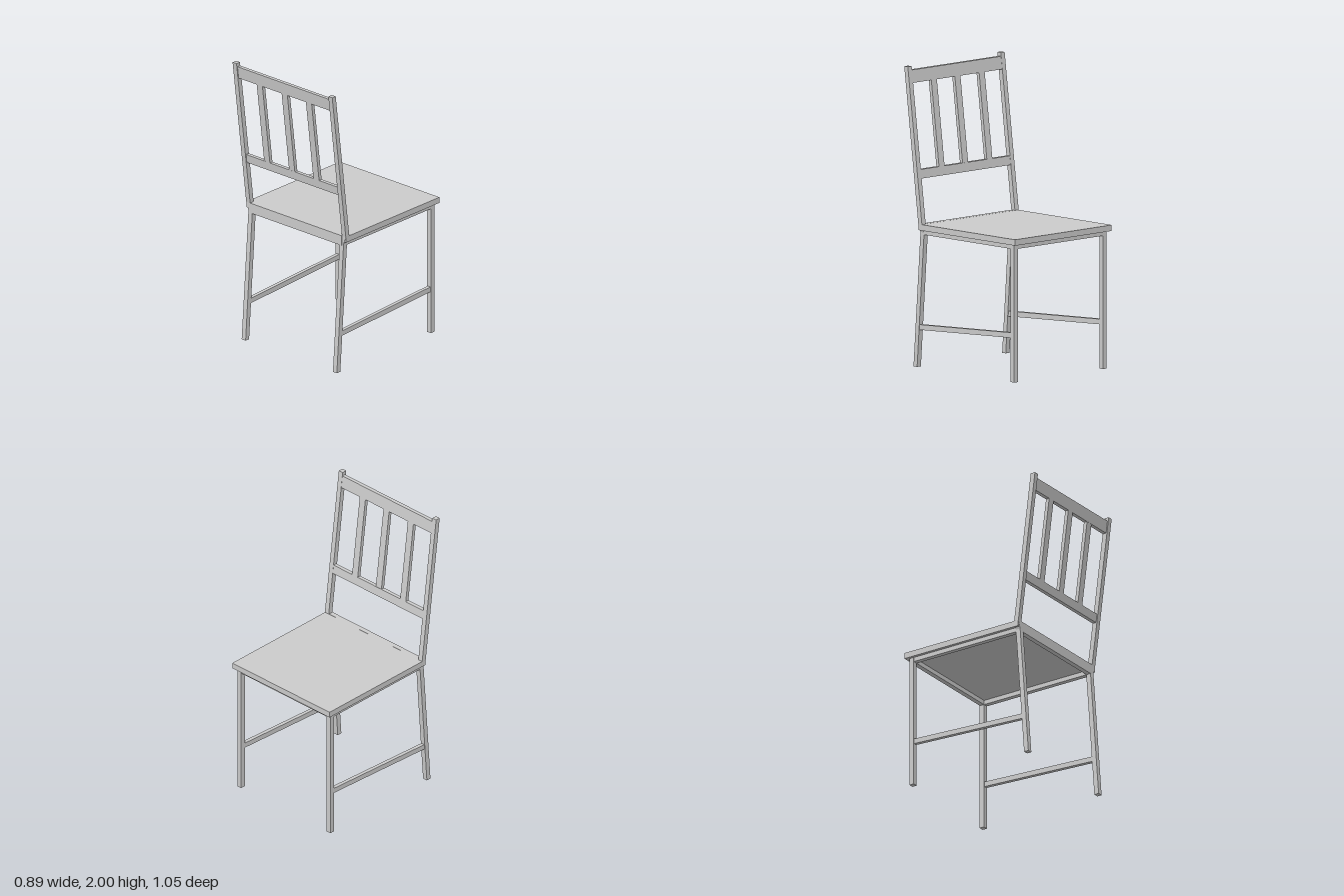
import * as THREE from 'three';

const material = new THREE.MeshStandardMaterial({ color: 0xcccccc, flatShading: true });

// Square-cut bar through stations [x, y, z], each section w wide (x) and d deep (z), level cuts.
function uprightBar(name, stations, w, d) {
  const pos = [], idx = [], n = stations.length;
  for (const [x, y, z] of stations)
    for (const [sx, sz] of [[-1, 1], [1, 1], [1, -1], [-1, -1]])
      pos.push(x + sx * w / 2, y, z + sz * d / 2);
  for (let i = 0; i < n - 1; i++)
    for (let k = 0; k < 4; k++) {
      const a = i * 4 + k, b = i * 4 + (k + 1) % 4;
      idx.push(a, b, b + 4, a, b + 4, a + 4);
    }
  const t = (n - 1) * 4;
  idx.push(0, 2, 1, 0, 3, 2, t, t + 1, t + 2, t, t + 2, t + 3);
  const indexed = new THREE.BufferGeometry();
  indexed.setAttribute('position', new THREE.Float32BufferAttribute(pos, 3));
  indexed.setIndex(idx);
  const geometry = indexed.toNonIndexed();
  geometry.computeVertexNormals();
  const mesh = new THREE.Mesh(geometry, material);
  mesh.name = name;
  return mesh;
}

// Box given by its limits on each axis.
function box(name, [x0, x1], [y0, y1], [z0, z1]) {
  const mesh = new THREE.Mesh(new THREE.BoxGeometry(x1 - x0, y1 - y0, z1 - z0), material);
  mesh.position.set((x0 + x1) / 2, (y0 + y1) / 2, (z0 + z1) / 2);
  mesh.name = name;
  return mesh;
}

// Depth of the leaning back panel at height y.
const lean = (y) => 0.372 + (y - 0.96) * 0.128;

export function createModel() {
  const chair = new THREE.Group();
  chair.name = 'chair';

  // Seat board and the rails beneath it
  chair.add(box('seat', [-0.445, 0.445], [0.92, 0.96], [-0.523, 0.39]));
  chair.add(box('backApron', [-0.41, 0.41], [0.89, 0.9605], [0.36, 0.394]));
  chair.add(box('frontApron', [-0.395, 0.395], [0.89, 0.92], [-0.494, -0.461]));

  for (const [side, s] of [['left', 1], ['right', -1]]) {
    const x = s * 0.408;
    // Rear leg steps outward at the seat, then leans back as the post
    chair.add(uprightBar(side + 'BackLegAndPost',
      [[x, 0, 0.441], [x, 0.905, 0.375], [s * 0.428, 0.96, 0.375], [s * 0.428, 2, 0.508]], 0.035, 0.034));
    chair.add(uprightBar(side + 'FrontLeg', [[x, 0, -0.478], [x, 0.92, -0.478]], 0.035, 0.034));
    chair.add(box(side + 'Apron', [x - 0.0165, x + 0.0165], [0.89, 0.92], [-0.465, 0.365]));

    // Sloping stretcher between the front and rear legs
    const stretcher = box(side + 'Stretcher', [x - 0.013, x + 0.013], [0.272, 0.307], [-0.467, 0.41]);
    stretcher.rotation.x = Math.atan2(0.045, 0.866);
    chair.add(stretcher);
  }

  // Backrest: two cross rails and three slats, all following the lean
  const rail = (name, y0, y1) =>
    uprightBar(name, [[0, y0, lean(y0)], [0, y1, lean(y1)]], 0.824, 0.026);
  chair.add(rail('topRail', 1.89, 1.975), rail('lowerRail', 1.26, 1.32));
  [-0.224, -0.001, 0.216].forEach((x, i) =>
    chair.add(uprightBar('slat' + (i + 1), [[x, 1.32, lean(1.32)], [x, 1.89, lean(1.89)]], 0.051, 0.025)));

  return chair;
}
